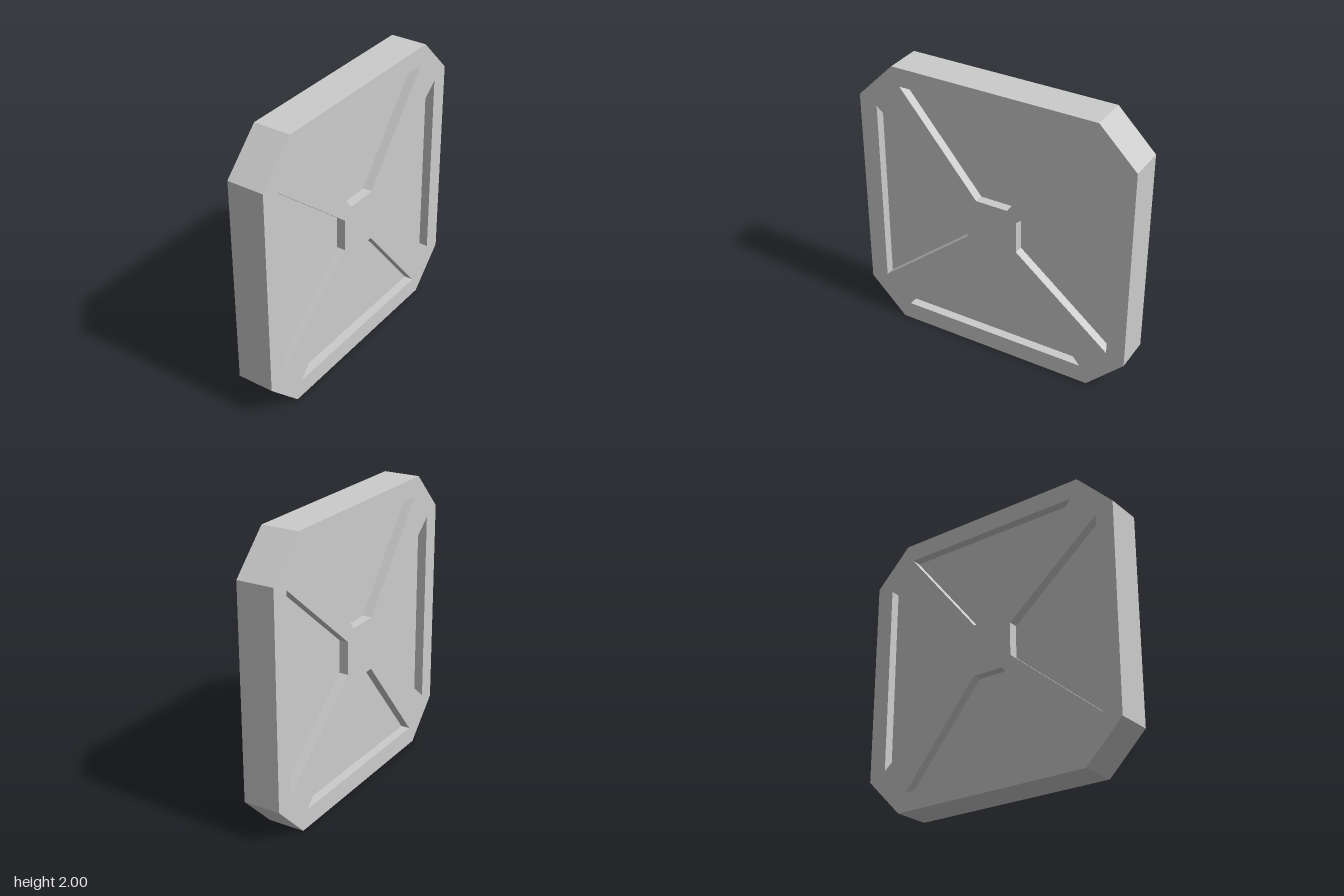
import * as THREE from 'three';

const THICKNESS = 0.26;
const PANEL_THICKNESS = 0.13;
const material = new THREE.MeshStandardMaterial({ color: 0xcccccc, flatShading: true });

// Extrude a flat outline, centre its depth and turn it to face along x
function slab(name, shape, depth) {
  const geometry = new THREE.ExtrudeGeometry(shape, { depth, bevelEnabled: false });
  geometry.translate(0, 0, -depth / 2);
  geometry.rotateY(Math.PI / 2);
  const mesh = new THREE.Mesh(geometry, material);
  mesh.name = name;
  return mesh;
}

// Trapezoid between the hub and the rim, turned by quarter turns
function trapezoid(quarter) {
  const angle = quarter * Math.PI / 2;
  return [[-0.115, 0.185], [0.115, 0.185], [0.68, 0.87], [-0.68, 0.87]].map(([x, y]) =>
    new THREE.Vector2(x, y).rotateAround(new THREE.Vector2(), angle));
}

export function createModel() {
  const model = new THREE.Group();
  model.name = 'bracedPanel';

  // Octagonal frame with four openings that leave an X-shaped brace
  const c = 0.735;
  const outline = new THREE.Shape([
    [c, -1], [1, -c], [1, c], [c, 1], [-c, 1], [-1, c], [-1, -c], [-c, -1],
  ].map(([x, y]) => new THREE.Vector2(x, y)));
  for (let i = 0; i < 4; i++) outline.holes.push(new THREE.Path(trapezoid(i)));
  model.add(slab('crossBracedFrame', outline, THICKNESS));

  // Thinner panels fill the openings, recessed on both faces
  ['topPanel', 'backPanel', 'bottomPanel', 'frontPanel'].forEach((name, i) => {
    // The turned outline's -x side ends up at +z
    const label = i === 1 ? 'frontPanel' : i === 3 ? 'backPanel' : name;
    model.add(slab(label, new THREE.Shape(trapezoid(i)), PANEL_THICKNESS));
  });

  model.position.y = 1;
  return model;
}
